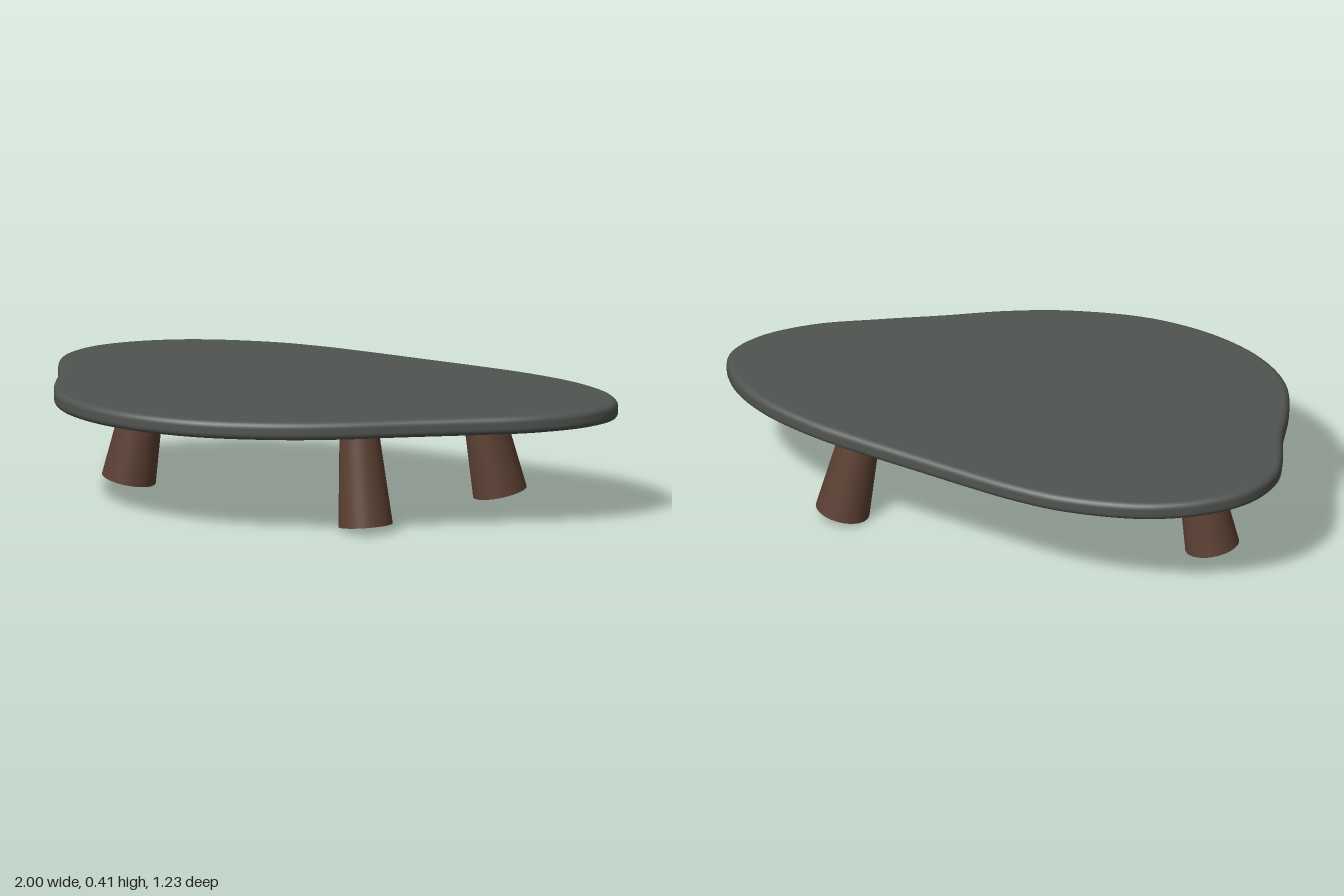
import * as THREE from 'three';

const stone = new THREE.MeshStandardMaterial({ color: 0x505450 });
stone.name = 'greyTop';
const wood = new THREE.MeshStandardMaterial({ color: 0x5c4033 });
wood.name = 'brownWood';

// Plan outline of the top as (x, z) pairs
const OUTLINE = [
  [-1, -0.21], [-0.96, -0.35], [-0.85, -0.47], [-0.66, -0.57], [-0.38, -0.615], [-0.18, -0.6],
  [0, -0.565], [0.2, -0.52], [0.4, -0.475], [0.6, -0.42], [0.8, -0.33], [0.94, -0.21],
  [1, -0.075], [0.95, 0.06], [0.8, 0.2], [0.6, 0.305], [0.4, 0.4], [0.2, 0.5],
  [0, 0.57], [-0.28, 0.61], [-0.53, 0.57], [-0.72, 0.475], [-0.84, 0.35], [-0.9, 0.2],
  [-0.94, 0.02], [-0.98, -0.1],
];

// Pebble-shaped slab: inset copies of the outline stacked along a rounded edge, closed by fans
function slabGeometry(bottom, top, radius) {
  const curve = new THREE.CatmullRomCurve3(
    OUTLINE.map(([x, z]) => new THREE.Vector3(x, 0, z)), true, 'centripetal');
  const n = 160, steps = 6;
  const rings = [];
  for (let i = 0; i <= steps; i++) {
    const a = (i / steps) * Math.PI / 2;
    rings.push([radius * (1 - Math.sin(a)), bottom + radius * (1 - Math.cos(a))]);
  }
  for (let i = 0; i <= steps; i++) {
    const a = (i / steps) * Math.PI / 2;
    rings.push([radius * (1 - Math.cos(a)), top - radius * (1 - Math.sin(a))]);
  }
  const positions = [], index = [];
  for (const [inset, y] of rings) {
    for (let j = 0; j < n; j++) {
      const p = curve.getPoint(j / n), t = curve.getTangent(j / n);
      positions.push(p.x - t.z * inset, y, p.z + t.x * inset);
    }
  }
  for (let i = 0; i < rings.length - 1; i++) {
    for (let j = 0; j < n; j++) {
      const k = (j + 1) % n;
      const a = i * n + j, b = i * n + k, c = a + n, d = b + n;
      index.push(a, c, b, b, c, d);
    }
  }
  // Flat underside and flat top
  const low = rings.length * n, high = low + 1, last = (rings.length - 1) * n;
  positions.push(-0.15, bottom, 0, -0.15, top, 0);
  for (let j = 0; j < n; j++) {
    const k = (j + 1) % n;
    index.push(low, j, k, high, last + k, last + j);
  }
  const geometry = new THREE.BufferGeometry();
  geometry.setAttribute('position', new THREE.Float32BufferAttribute(positions, 3));
  geometry.setIndex(index);
  geometry.computeVertexNormals();
  return geometry;
}

// Tapered round leg running from its foot to its upper end
function makeLeg(name, foot, head) {
  const a = new THREE.Vector3(...foot), b = new THREE.Vector3(...head);
  const axis = b.clone().sub(a);
  const leg = new THREE.Mesh(new THREE.CylinderGeometry(0.065, 0.092, axis.length(), 48), wood);
  leg.name = name;
  leg.position.copy(a).add(b).multiplyScalar(0.5);
  leg.quaternion.setFromUnitVectors(new THREE.Vector3(0, 1, 0), axis.normalize());
  return leg;
}

export function createModel() {
  const table = new THREE.Group();
  table.name = 'coffeeTable';

  const top = new THREE.Mesh(slabGeometry(0.347, 0.41, 0.022), stone);
  top.name = 'tableTop';
  table.add(top);

  // Three splayed legs
  table.add(
    makeLeg('rightLeg', [-0.738, 0.018, -0.125], [-0.675, 0.347, -0.12]),
    makeLeg('frontLeg', [0.236, 0.018, 0.312], [0.203, 0.35, 0.284]),
    makeLeg('backLeg', [0.514, 0.018, -0.307], [0.453, 0.347, -0.28]),
  );
  return table;
}
